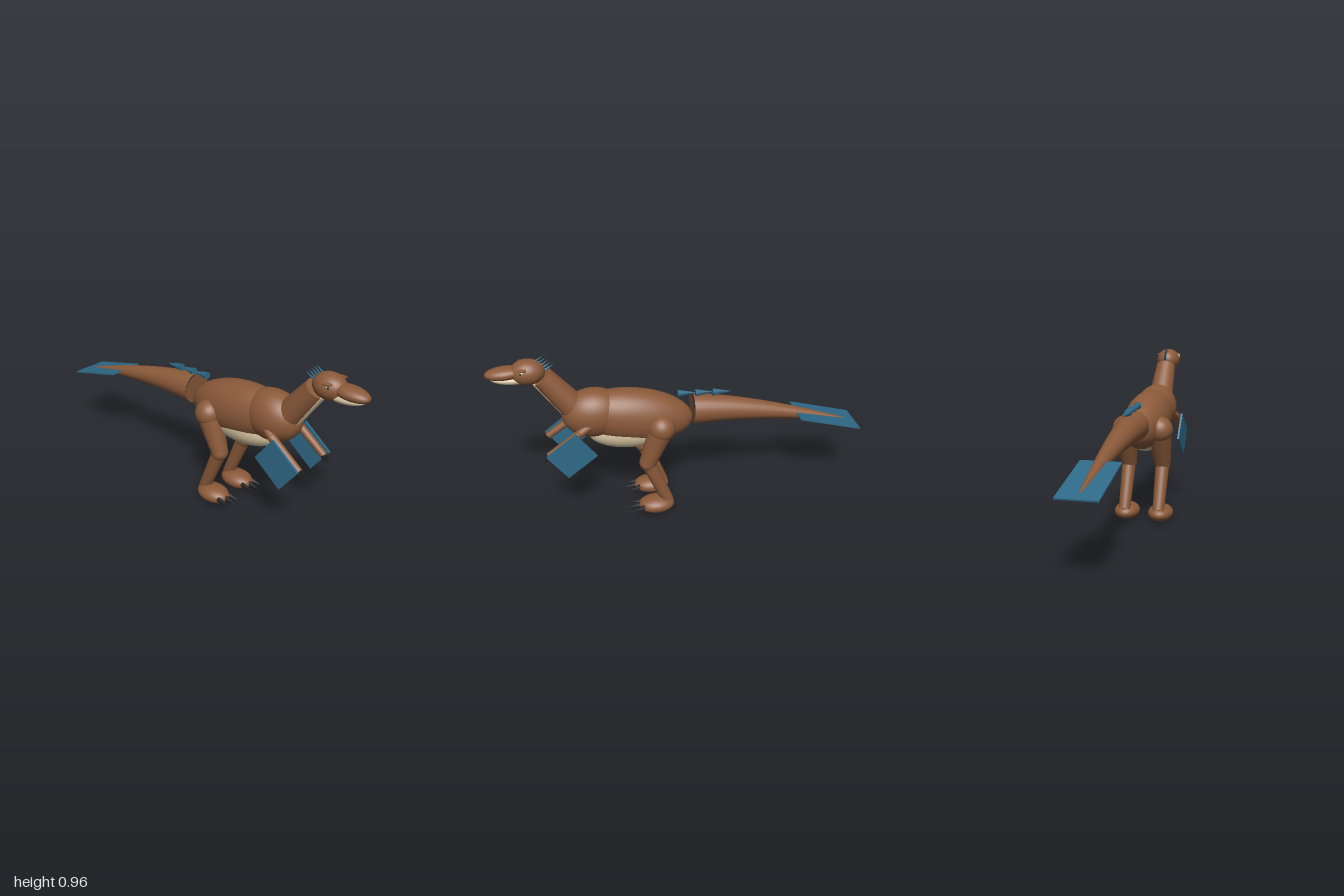
import * as THREE from 'three';

const mat = (color) => new THREE.MeshStandardMaterial({ color });
const V = (x, y, z) => new THREE.Vector3(x, y, z);
const UP = V(0, 1, 0);

export function createModel() {
  const root = new THREE.Group();
  const brown = mat(0x8b5a3a), cream = mat(0xd6c4a2), teal = mat(0x2f6a88), black = mat(0x222222);

  const add = (parent, name, geo, material) => {
    const m = new THREE.Mesh(geo, material);
    m.name = name;
    parent.add(m);
    return m;
  };
  // ellipsoid at centre c with radii r, tilted about x
  const ball = (parent, name, material, c, r, tilt = 0) => {
    const m = add(parent, name, new THREE.SphereGeometry(1, 32, 20), material);
    m.position.set(...c);
    m.scale.set(...r);
    m.rotation.x = tilt;
    return m;
  };
  // tapered cylinder or cone from a (radius ra) to b (radius rb)
  const limb = (parent, name, material, a, b, ra, rb, sides = 24) => {
    const p = V(...a), q = V(...b), d = q.clone().sub(p);
    const m = add(parent, name, new THREE.CylinderGeometry(rb, ra, d.length(), sides), material);
    m.position.copy(p).add(q).multiplyScalar(0.5);
    m.quaternion.setFromUnitVectors(UP, d.normalize());
    return m;
  };

  // trunk
  ball(root, 'body', brown, [0, 0.575, 0.255], [0.125, 0.15, 0.32], -0.17);
  ball(root, 'chest', brown, [0, 0.613, 0.47], [0.117, 0.135, 0.17]);
  ball(root, 'belly', cream, [0, 0.495, 0.27], [0.104, 0.106, 0.24]);

  // neck with pale throat strip
  limb(root, 'neck', brown, [0, 0.66, 0.575], [0, 0.842, 0.717], 0.072, 0.058);
  const throat = limb(root, 'throat', cream, [0, 0.622, 0.624], [0, 0.812, 0.758], 0.03, 0.028, 8);
  throat.scale.z = 0.45;

  // head
  ball(root, 'head', brown, [0, 0.877, 0.787], [0.069, 0.067, 0.088]);
  ball(root, 'snout', brown, [0, 0.88, 0.9], [0.053, 0.034, 0.1], 0.05);
  ball(root, 'lowerJaw', cream, [0, 0.846, 0.875], [0.046, 0.026, 0.1], -0.08);
  for (const s of [1, -1]) {
    ball(root, 'eye', cream, [s * 0.059, 0.9, 0.815], [0.012, 0.012, 0.012]);
    ball(root, 'pupil', black, [s * 0.067, 0.9, 0.82], [0.006, 0.006, 0.006]);
    const brow = add(root, 'brow', new THREE.BoxGeometry(0.022, 0.007, 0.04), brown);
    brow.position.set(s * 0.06, 0.913, 0.81);
    brow.rotation.z = -s * 0.2;
  }

  // crest quills along the back of the head
  for (let i = 0; i < 5; i++) {
    const z = 0.755 - i * 0.013, y = 0.932 - i * 0.011;
    limb(root, 'crestQuill', teal, [0, y - 0.01, z], [0, y + 0.03 - i * 0.002, z - 0.055], 0.008, 0, 6);
  }

  // tail: tapered tube along a drooping curve
  const path = new THREE.QuadraticBezierCurve3(V(0, 0.58, -0.06), V(0, 0.56, -0.45), V(0, 0.405, -1));
  const N = 24, S = 24;
  const tail = new THREE.TubeGeometry(path, N, 1, S, false);
  const pos = tail.attributes.position, p = V(0, 0, 0);
  for (let i = 0; i <= N; i++) {
    const c = path.getPointAt(i / N), r = 0.083 * (1 - i / N) + 0.002;
    for (let j = 0; j <= S; j++) {
      const k = i * (S + 1) + j;
      p.fromBufferAttribute(pos, k).sub(c).multiplyScalar(r).add(c);
      pos.setXYZ(k, p.x, p.y, p.z);
    }
  }
  add(root, 'tail', tail, brown);
  const cap = add(root, 'tailRootCap', new THREE.CircleGeometry(0.085, S), brown);
  cap.position.set(0, 0.58, -0.06);
  cap.rotation.x = 0.05;

  // feather fan on the tail end
  const fan = add(root, 'tailFan', new THREE.BoxGeometry(0.204, 0.008, 0.365), teal);
  fan.position.set(0, 0.455, -0.824);
  fan.rotation.x = -0.262;

  // back spikes lying towards the tail
  for (let i = 0; i < 3; i++) {
    const z = 0.02 - i * 0.095, y = 0.678 - i * 0.005;
    limb(root, 'backSpike', teal, [0, y, z], [0, y - 0.006, z - 0.11], 0.022, 0, 6);
  }

  // limbs, mirrored
  for (const s of [1, -1]) {
    const leg = new THREE.Group();
    leg.name = s > 0 ? 'leftLeg' : 'rightLeg';
    root.add(leg);
    const x = s * 0.099;
    ball(leg, 'hip', brown, [x, 0.533, 0.125], [0.074, 0.074, 0.074]);
    limb(leg, 'thigh', brown, [x, 0.533, 0.125], [x, 0.325, 0.203], 0.069, 0.046);
    ball(leg, 'knee', brown, [x, 0.325, 0.203], [0.046, 0.046, 0.046]);
    limb(leg, 'shin', brown, [x, 0.325, 0.203], [x, 0.07, 0.098], 0.04, 0.033);
    ball(leg, 'foot', brown, [x, 0.048, 0.16], [0.071, 0.047, 0.1]);
    for (const t of [-1, 0, 1]) {
      const cx = x + t * 0.035, cz = t ? 0.23 : 0.245;
      limb(leg, 'toeClaw', black, [cx, 0.052, cz], [cx + t * 0.006, 0.04, cz + 0.07], 0.017, 0, 6);
    }

    const arm = new THREE.Group();
    arm.name = s > 0 ? 'leftArm' : 'rightArm';
    root.add(arm);
    const ax = s * 0.103;
    limb(arm, 'upperArm', brown, [s * 0.085, 0.59, 0.48], [ax, 0.55, 0.55], 0.022, 0.022, 16);
    ball(arm, 'elbow', brown, [ax, 0.552, 0.548], [0.022, 0.022, 0.022]);
    limb(arm, 'forearm', brown, [ax, 0.555, 0.545], [ax, 0.43, 0.722], 0.022, 0.019, 16);
    const plume = add(arm, 'armFeathers', new THREE.BoxGeometry(0.011, 0.175, 0.2), teal);
    plume.position.set(s * 0.132, 0.432, 0.604);
    plume.rotation.x = 0.65;
    for (const t of [-1, 0, 1]) {
      const cx = ax + t * 0.014;
      limb(arm, 'fingerClaw', black, [cx, 0.437, 0.722], [cx + t * 0.004, 0.387, 0.752], 0.009, 0, 6);
    }
  }
  return root;
}
